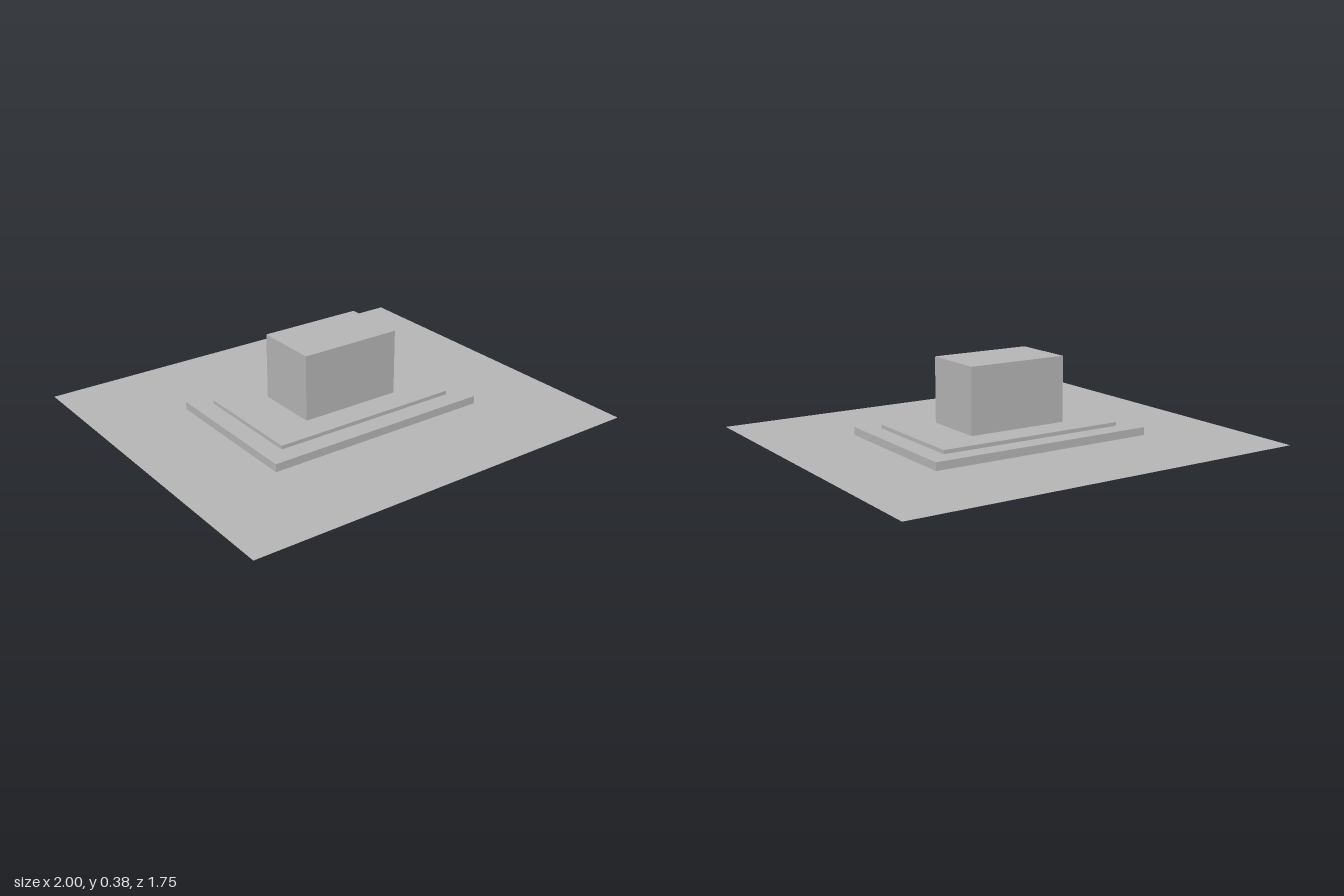
import * as THREE from 'three';

export function createModel() {
  const model = new THREE.Group();
  const grey = new THREE.MeshStandardMaterial({ color: 0xb4b4b4, side: THREE.DoubleSide });
  grey.name = 'plain grey';

  // Box given by its width, depth, bottom and top
  const addBlock = (name, width, depth, bottom, top) => {
    const mesh = new THREE.Mesh(new THREE.BoxGeometry(width, top - bottom, depth), grey);
    mesh.name = name;
    mesh.position.y = (bottom + top) / 2;
    model.add(mesh);
  };

  // Flat ground sheet
  const ground = new THREE.Mesh(new THREE.PlaneGeometry(2, 1.75).rotateX(-Math.PI / 2), grey);
  ground.name = 'groundSheet';
  model.add(ground);

  // Two stacked slabs and the block hovering just above them
  addBlock('lowerSlab', 1.125, 0.75, 0.004, 0.042);
  addBlock('upperSlab', 0.9375, 0.5625, 0.042, 0.06);
  addBlock('mainBlock', 0.5, 0.3125, 0.065, 0.378);

  return model;
}
